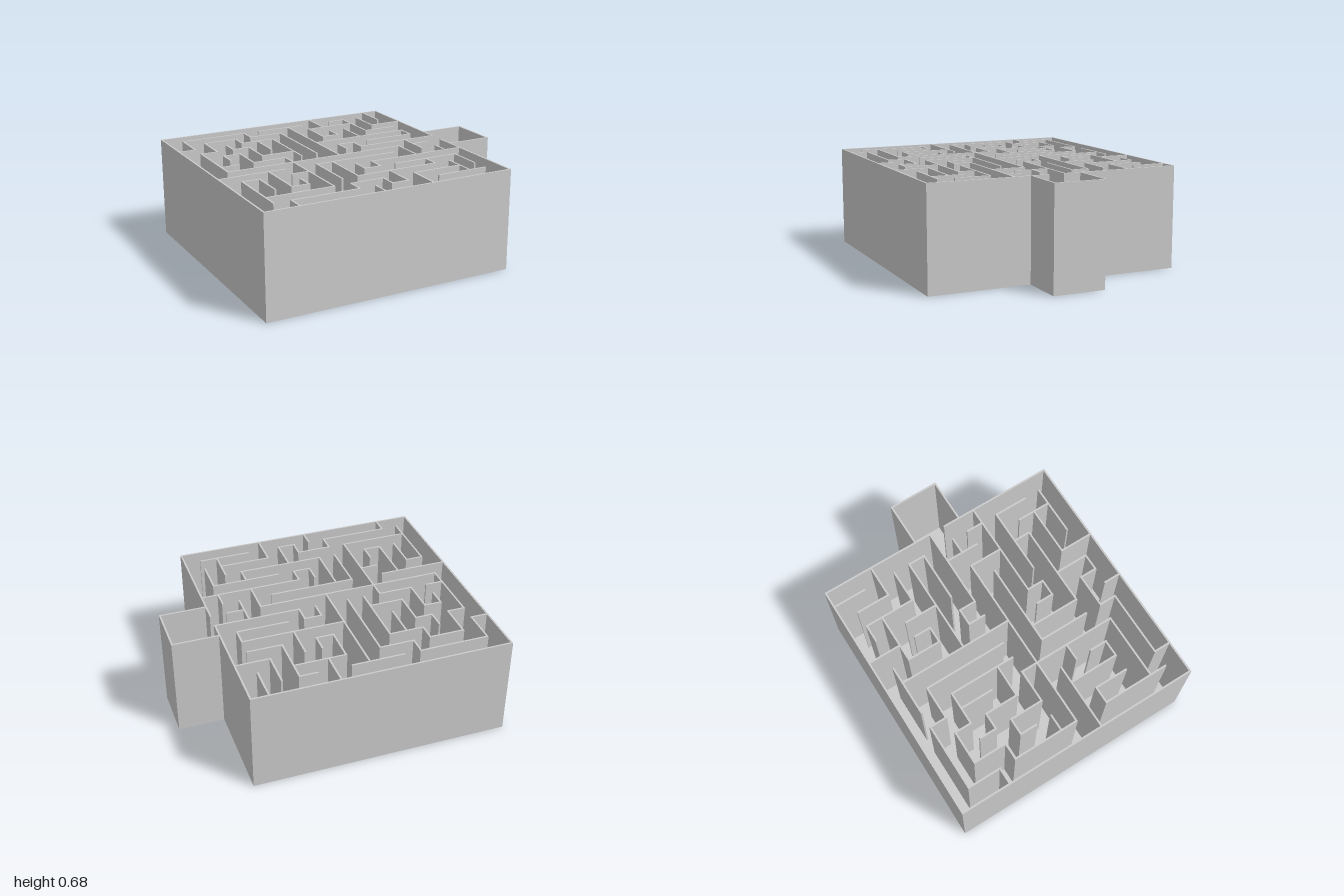
import * as THREE from 'three';

const T = 0.012;                 // wall thickness
const H = 0.675;                 // total height
const FLOOR = 0.006;             // floor thickness
const HALF = 0.848;              // half depth of the maze
const CELLS = 15;
const P = (2 * HALF - T) / CELLS; // grid pitch
const gx = i => -1 + T / 2 + i * P;
const gz = j => -HALF + T / 2 + j * P;

// Interior walls running along x: for grid rows 1..14, pairs of start and end column
const ROWS = [
  [1, 5, 6, 9, 11, 12],
  [2, 4, 5, 7, 9, 12],
  [0, 1, 4, 6, 13, 15],
  [1, 2, 3, 4, 9, 10, 12, 14],
  [2, 3, 8, 14],
  [4, 6, 9, 10, 11, 14],
  [1, 2, 3, 5, 10, 15],
  [1, 12, 13, 14],
  [0, 4, 6, 11],
  [1, 2, 4, 5, 9, 15],
  [8, 9, 10, 14],
  [3, 4, 7, 12],
  [1, 5, 6, 8, 10, 13],
  [2, 6, 8, 9, 11, 14],
];

// Interior walls running along z: for grid columns 1..14, pairs of start and end row
const COLUMNS = [
  [1, 3, 4, 8, 10, 14],
  [2, 4, 5, 6, 10, 12, 14, 15],
  [3, 4, 5, 7, 9, 12],
  [2, 3, 4, 6, 11, 12],
  [1, 2, 3, 5, 7, 13],
  [3, 7, 9, 12, 13, 14],
  [2, 7, 9, 12, 14, 15],
  [1, 8, 10, 11, 13, 14],
  [2, 4, 6, 7, 10, 11, 12, 14],
  [0, 2, 3, 4, 6, 7, 13, 15],
  [3, 5],
  [1, 4, 8, 10, 11, 12],
  [1, 3, 7, 9, 12, 14],
  [0, 2, 5, 6, 9, 10, 11, 13],
];

export function createModel() {
  const model = new THREE.Group();
  const material = new THREE.MeshStandardMaterial({ color: 0xcccccc, flatShading: true });

  const block = (parent, name, x0, x1, y0, y1, z0, z1) => {
    const mesh = new THREE.Mesh(new THREE.BoxGeometry(x1 - x0, y1 - y0, z1 - z0), material);
    mesh.position.set((x0 + x1) / 2, (y0 + y1) / 2, (z0 + z1) / 2);
    mesh.name = name;
    parent.add(mesh);
  };
  // A wall between two points on wall centre lines, squared off at both ends
  const wall = (parent, name, xa, za, xb, zb) =>
    block(parent, name, xa - T / 2, xb + T / 2, FLOOR, H, za - T / 2, zb + T / 2);
  const group = name => {
    const g = new THREE.Group();
    g.name = name;
    model.add(g);
    return g;
  };

  // Floors
  const right = gx(CELLS) + T / 2;
  block(model, 'mazeFloor', -1, right, 0, FLOOR, -HALF, HALF);
  block(model, 'roomFloor', right, 1, 0, FLOOR, gz(6) - T / 2, gz(9) + T / 2);

  // Outer walls, with a doorway into the side room
  const outer = group('outerWalls');
  wall(outer, 'backWall', gx(0), gz(0), gx(CELLS), gz(0));
  wall(outer, 'frontWall', gx(0), gz(CELLS), gx(CELLS), gz(CELLS));
  wall(outer, 'rightWall', gx(0), gz(0), gx(0), gz(CELLS));
  wall(outer, 'leftWallBack', gx(CELLS), gz(0), gx(CELLS), gz(7));
  wall(outer, 'leftWallFront', gx(CELLS), gz(8), gx(CELLS), gz(CELLS));

  // Side room
  const room = group('sideRoom');
  const end = 1 - T / 2;
  wall(room, 'roomBackWall', gx(CELLS), gz(6), end, gz(6));
  wall(room, 'roomFrontWall', gx(CELLS), gz(9), end, gz(9));
  wall(room, 'roomEndWall', end, gz(6), end, gz(9));

  // Maze walls
  const maze = group('mazeWalls');
  ROWS.forEach((pairs, r) => {
    for (let k = 0; k < pairs.length; k += 2)
      wall(maze, 'crossWall', gx(pairs[k]), gz(r + 1), gx(pairs[k + 1]), gz(r + 1));
  });
  COLUMNS.forEach((pairs, c) => {
    for (let k = 0; k < pairs.length; k += 2)
      wall(maze, 'lengthWall', gx(c + 1), gz(pairs[k]), gx(c + 1), gz(pairs[k + 1]));
  });

  return model;
}
